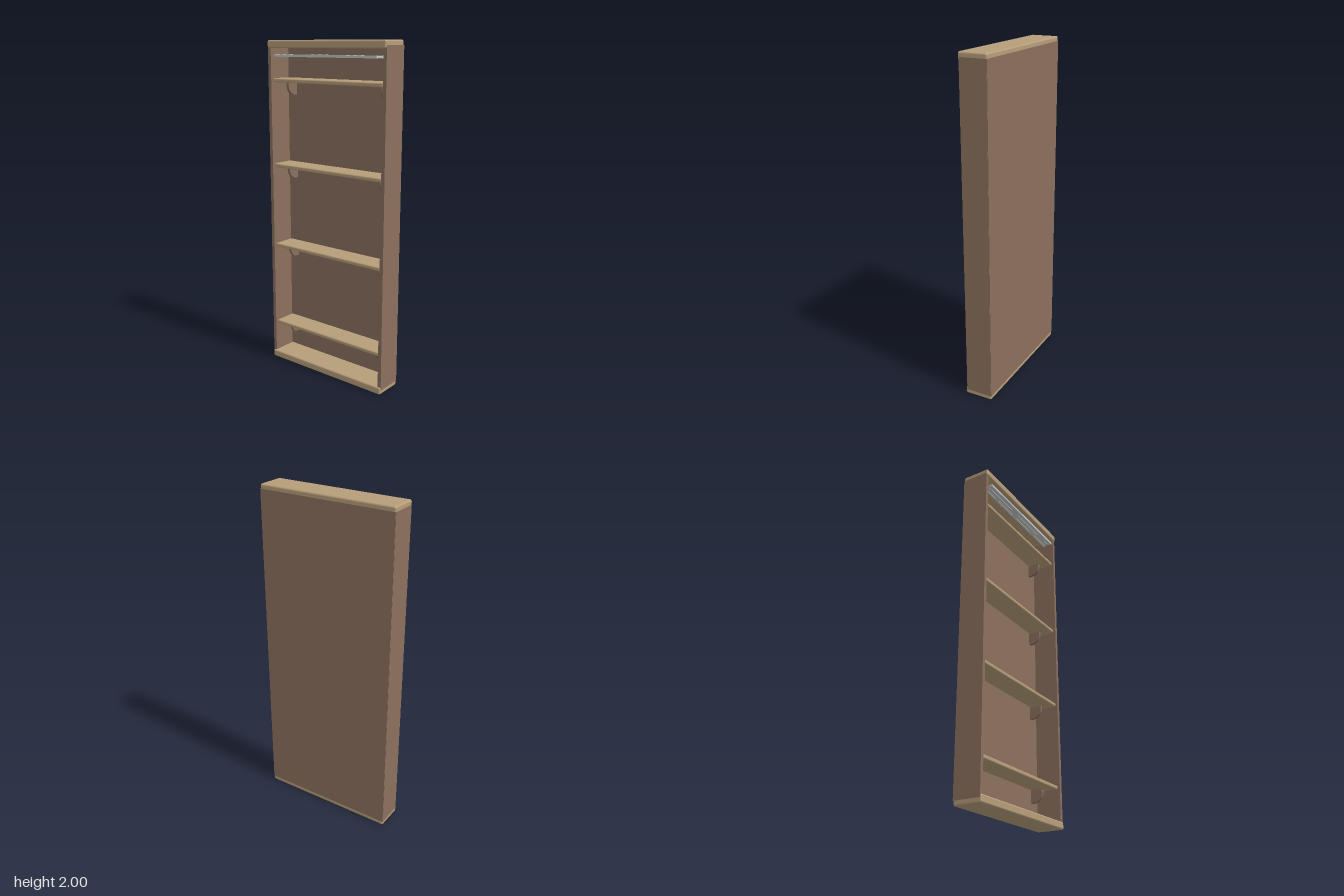
import * as THREE from 'three';
import { RoundedBoxGeometry } from 'three/addons/geometries/RoundedBoxGeometry.js';

export function createModel() {
  const model = new THREE.Group();
  model.name = 'wallShelf';
  const mat = (name, color) => {
    const m = new THREE.MeshStandardMaterial({ color });
    m.name = name;
    return m;
  };
  const tan = mat('lightWood', 0xb69d79);
  const brown = mat('brownWood', 0x8b705d);
  const silver = mat('silverMetal', 0xc4c7c4);

  const add = (name, geometry, material, x, y, z) => {
    const mesh = new THREE.Mesh(geometry, material);
    mesh.name = name;
    mesh.position.set(x, y, z);
    model.add(mesh);
    return mesh;
  };

  // top and bottom boards with softened edges
  const cap = new RoundedBoxGeometry(0.844, 0.045, 0.17, 3, 0.01);
  add('topBoard', cap, tan, 0, 1.9775, 0);
  add('bottomBoard', cap, tan, 0, 0.0225, 0);

  // side panels overlap the ends of the boards
  const side = new THREE.BoxGeometry(0.022, 1.946, 0.16);
  for (const s of [-1, 1]) add(s > 0 ? 'leftSide' : 'rightSide', side, brown, s * 0.412, 1, -0.003);

  // back panel
  add('backPanel', new THREE.BoxGeometry(0.844, 1.946, 0.0105), brown, 0, 1, -0.0803);

  // bracket: upright plate with a rounded lower front corner
  const outline = new THREE.Shape();
  outline.moveTo(0, 0);
  outline.lineTo(0.075, 0);
  outline.lineTo(0.075, -0.02);
  outline.quadraticCurveTo(0.07, -0.072, 0.02, -0.077);
  outline.lineTo(0, -0.077);
  outline.closePath();
  const bracket = new THREE.ExtrudeGeometry(outline, { depth: 0.018, bevelEnabled: false, curveSegments: 8 });
  bracket.translate(0, 0, -0.009);
  bracket.rotateY(-Math.PI / 2);

  // shelves, each on two brackets
  const shelf = new RoundedBoxGeometry(0.796, 0.024, 0.142, 3, 0.008);
  [0.24, 0.755, 1.26, 1.769].forEach((y, i) => {
    add('shelf' + (i + 1), shelf, tan, 0, y, -0.004);
    for (const x of [-0.342, 0.335]) add('shelfBracket', bracket, brown, x, y - 0.011, -0.075);
  });

  // grooved rail near the top
  const rail = new THREE.Group();
  rail.name = 'rail';
  rail.position.set(-0.003, 1.912, 0.054);
  const strips = [[0.736, 0.008, 0.062, 0, 0], [0.736, 0.014, 0.012, 0, 0.025],
    [0.736, 0.014, 0.012, 0, -0.025], [0.7, 0.014, 0.012, 0, 0]];
  for (const [w, h, d, y, z] of strips) {
    const strip = new THREE.Mesh(new THREE.BoxGeometry(w, h, d), silver);
    strip.name = 'railStrip';
    strip.position.set(0, y, z);
    rail.add(strip);
  }
  model.add(rail);

  return model;
}
